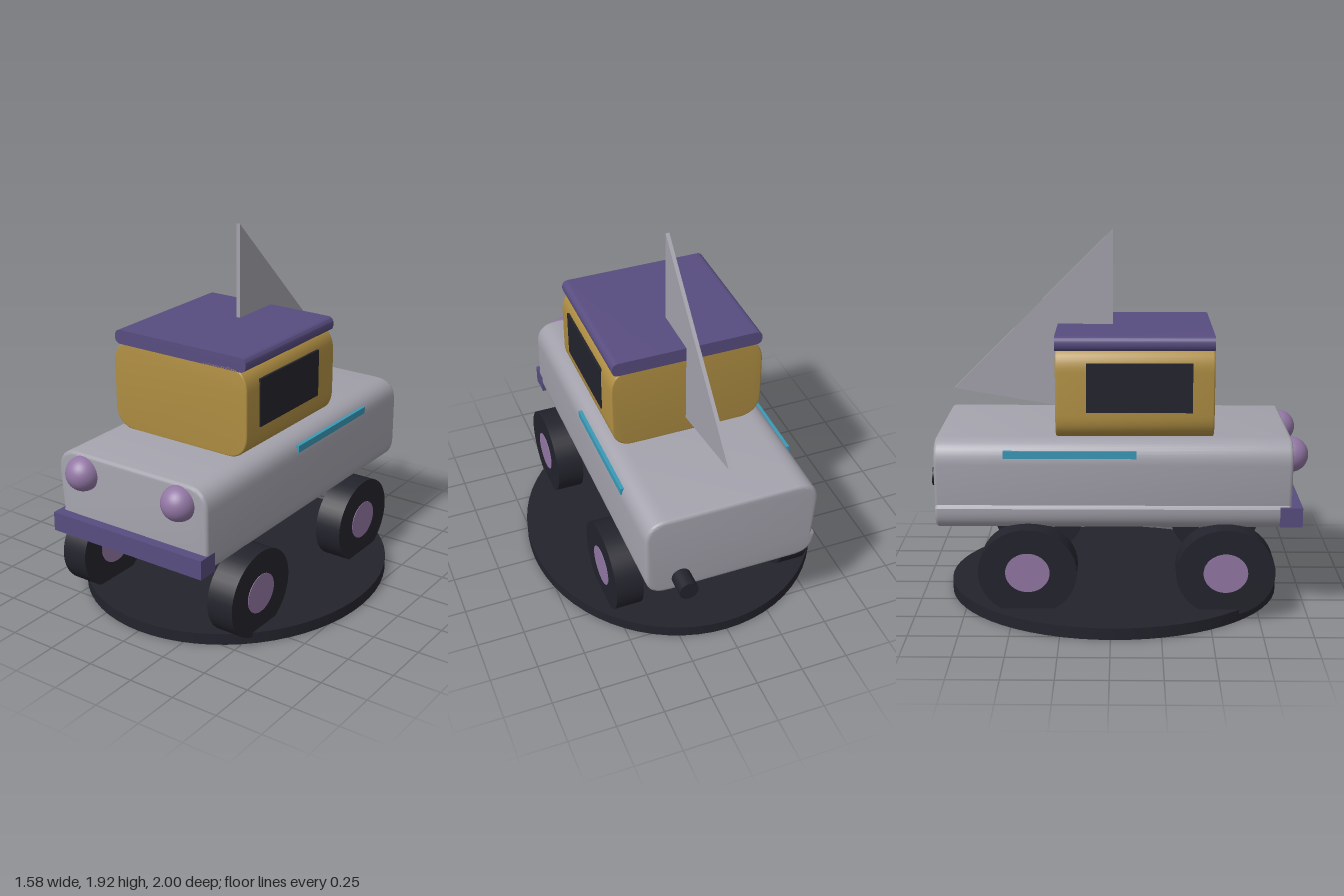
import * as THREE from 'three';
import { toCreasedNormals } from 'three/addons/utils/BufferGeometryUtils.js';

const paint = (name, color) => {
  const m = new THREE.MeshStandardMaterial({ color });
  m.name = name;
  return m;
};

export function createModel() {
  const group = new THREE.Group();
  const grey = paint('grey', 0xa4a3ad);
  const gold = paint('gold', 0xb08f43);
  const purple = paint('purple', 0x584d80);
  const dark = paint('dark', 0x23232d);
  const teal = paint('teal', 0x3a9ab8);
  const lilac = paint('lilac', 0x9277a4);

  const add = (name, geometry, material, x = 0, y = 0, z = 0) => {
    const mesh = new THREE.Mesh(geometry, material);
    mesh.name = name;
    mesh.position.set(x, y, z);
    group.add(mesh);
    return mesh;
  };
  // box given by its limits
  const box = (name, material, x0, x1, y0, y1, z0, z1) =>
    add(name, new THREE.BoxGeometry(x1 - x0, y1 - y0, z1 - z0), material,
      (x0 + x1) / 2, (y0 + y1) / 2, (z0 + z1) / 2);

  // rounded cross-section in x and y, with an optional crease in the right side
  const section = (w, y0, y1, r, crease) => {
    const s = new THREE.Shape();
    s.moveTo(-w, y0 + r);
    s.quadraticCurveTo(-w, y0, -w + r, y0);
    s.lineTo(w - r, y0);
    s.quadraticCurveTo(w, y0, w, y0 + r);
    s.lineTo(w, y1 - r);
    s.quadraticCurveTo(w, y1, w - r, y1);
    s.lineTo(-w + r, y1);
    s.quadraticCurveTo(-w, y1, -w, y1 - r);
    if (crease) s.lineTo(-w + crease, y0 + r + 0.015);
    s.closePath();
    return s;
  };
  // section run along z, with softened ends
  const hull = (shape, z0, z1, bevel) => {
    const g = new THREE.ExtrudeGeometry(shape, {
      depth: z1 - z0 - 2 * bevel, curveSegments: 10, bevelEnabled: bevel > 0,
      bevelSize: bevel, bevelThickness: bevel, bevelOffset: -bevel, bevelSegments: 3,
    });
    g.translate(0, 0, z0 + bevel);
    return toCreasedNormals(g, 0.6);
  };

  // oval stand
  const stand = add('stand', new THREE.CylinderGeometry(1, 1, 0.06, 64), dark, 0, 0.03, 0.01);
  stand.scale.set(0.79, 1, 0.87);

  // body, cabin and roof
  add('body', hull(section(0.457, 0.44, 0.908, 0.12, 0.018), -0.89, 0.91, 0.018), grey);
  add('cabin', hull(section(0.407, 0.902, 1.378, 0.13), -0.28, 0.515, 0.008), gold);
  add('roof', hull(section(0.4, 1.354, 1.428, 0.036), -0.283, 0.515, 0), purple);

  // bumper and exhaust
  box('bumper', purple, -0.459, 0.459, 0.47, 0.57, 0.85, 0.963);
  const exhaust = add('exhaust', new THREE.CylinderGeometry(0.05, 0.05, 0.18, 20), dark, 0.274, 0.52, -0.91);
  exhaust.rotation.x = Math.PI / 2;

  // upright triangular fin
  const fin = new THREE.Shape([
    new THREE.Vector2(0.005, 1.922), new THREE.Vector2(0.005, 0.942), new THREE.Vector2(-0.83, 1.085),
  ]);
  const finGeometry = new THREE.ExtrudeGeometry(fin, { depth: 0.02, bevelEnabled: false });
  finGeometry.translate(0, 0, -0.01);
  finGeometry.rotateY(-Math.PI / 2);
  add('fin', finGeometry, grey);

  for (const side of [-1, 1]) {
    const label = side > 0 ? 'left' : 'right';
    add(label + 'Headlight', new THREE.SphereGeometry(0.09, 32, 20), lilac, side * 0.296, 0.807, 0.91);
    // side window and trim
    const window = box(label + 'Window', dark, 0.37, 0.413, 1.048, 1.297, -0.125, 0.405);
    const trim = box(label + 'Trim', teal, 0.42, 0.459, 0.823, 0.86, -0.54, 0.125);
    window.position.x *= side;
    trim.position.x *= side;

    // slightly squashed wheels with hubs showing on both faces
    for (const [end, z] of [['Front', 0.576], ['Rear', -0.42]]) {
      const wheel = new THREE.Group();
      wheel.name = label + end + 'Wheel';
      for (const [name, r, width, m] of [['tyre', 0.249, 0.146, dark], ['hub', 0.112, 0.152, lilac]]) {
        const g = new THREE.CylinderGeometry(r, r, width, 40);
        g.rotateZ(Math.PI / 2);
        const mesh = new THREE.Mesh(g, m);
        mesh.name = name;
        wheel.add(mesh);
      }
      wheel.position.set(side * 0.464, 0.251, z);
      wheel.scale.y = 0.905;
      group.add(wheel);
    }
  }
  return group;
}
